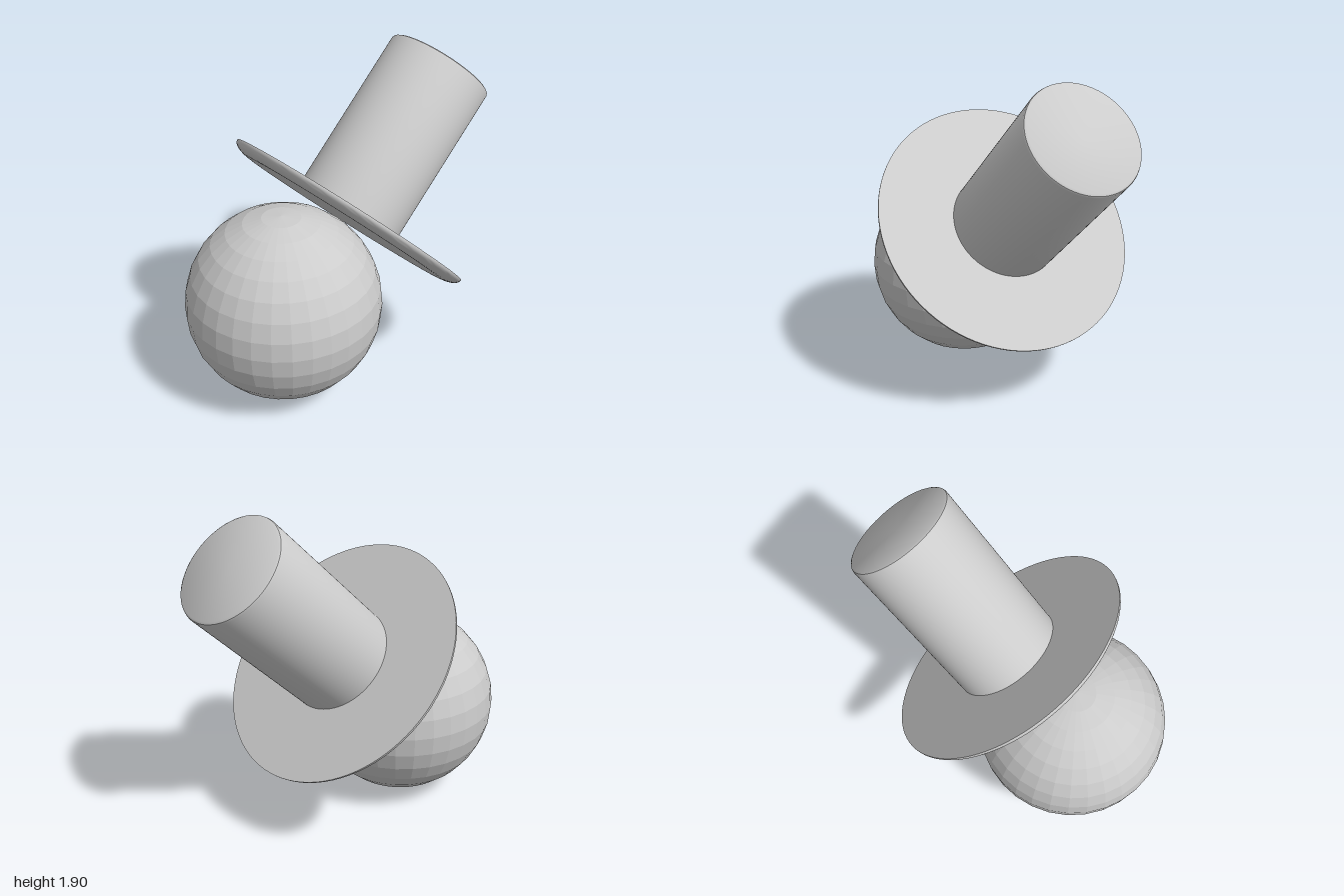
import * as THREE from 'three';
import { toCreasedNormals } from 'three/addons/utils/BufferGeometryUtils.js';

const material = new THREE.MeshStandardMaterial({ color: 0xcccccc });
const facetedMaterial = new THREE.MeshStandardMaterial({ color: 0xcccccc, flatShading: true });

// Round part from a bottom-to-top profile of [radius, height] pairs
function turned(name, profile) {
  const points = profile.map(([r, y]) => new THREE.Vector2(r, y));
  const geometry = toCreasedNormals(new THREE.LatheGeometry(points, 96), 0.6);
  const mesh = new THREE.Mesh(geometry, material);
  mesh.name = name;
  return mesh;
}

export function createModel() {
  const model = new THREE.Group();
  model.name = 'ballWithHat';

  // Faceted ball
  const ball = new THREE.Mesh(new THREE.SphereGeometry(0.565, 32, 16), facetedMaterial);
  ball.name = 'ball';
  ball.position.set(0, 0.57, 0.435);
  model.add(ball);

  // Hat tipped backwards; its origin is the centre of the brim's top
  const hat = new THREE.Group();
  hat.name = 'hat';
  hat.position.set(0, 0.977, -0.06);
  hat.rotation.x = -Math.PI / 4;
  model.add(hat);

  // Brim: flat on top, underside curving up to a thin rim
  const brim = [[0, -0.057]];
  for (let i = 0; i <= 10; i++) {
    const a = (i / 10) * Math.PI / 2;
    brim.push([0.64 + 0.122 * Math.sin(a), -0.005 - 0.052 * Math.cos(a)]);
  }
  brim.push([0.762, 0], [0, 0]);
  hat.add(turned('brim', brim));

  // Crown: tall cylinder with a slightly softened top edge
  hat.add(turned('crown', [
    [0, -0.02], [0.325, -0.02], [0.325, 0.985], [0.321, 0.996], [0.31, 1.003], [0, 1.003],
  ]));

  return model;
}
